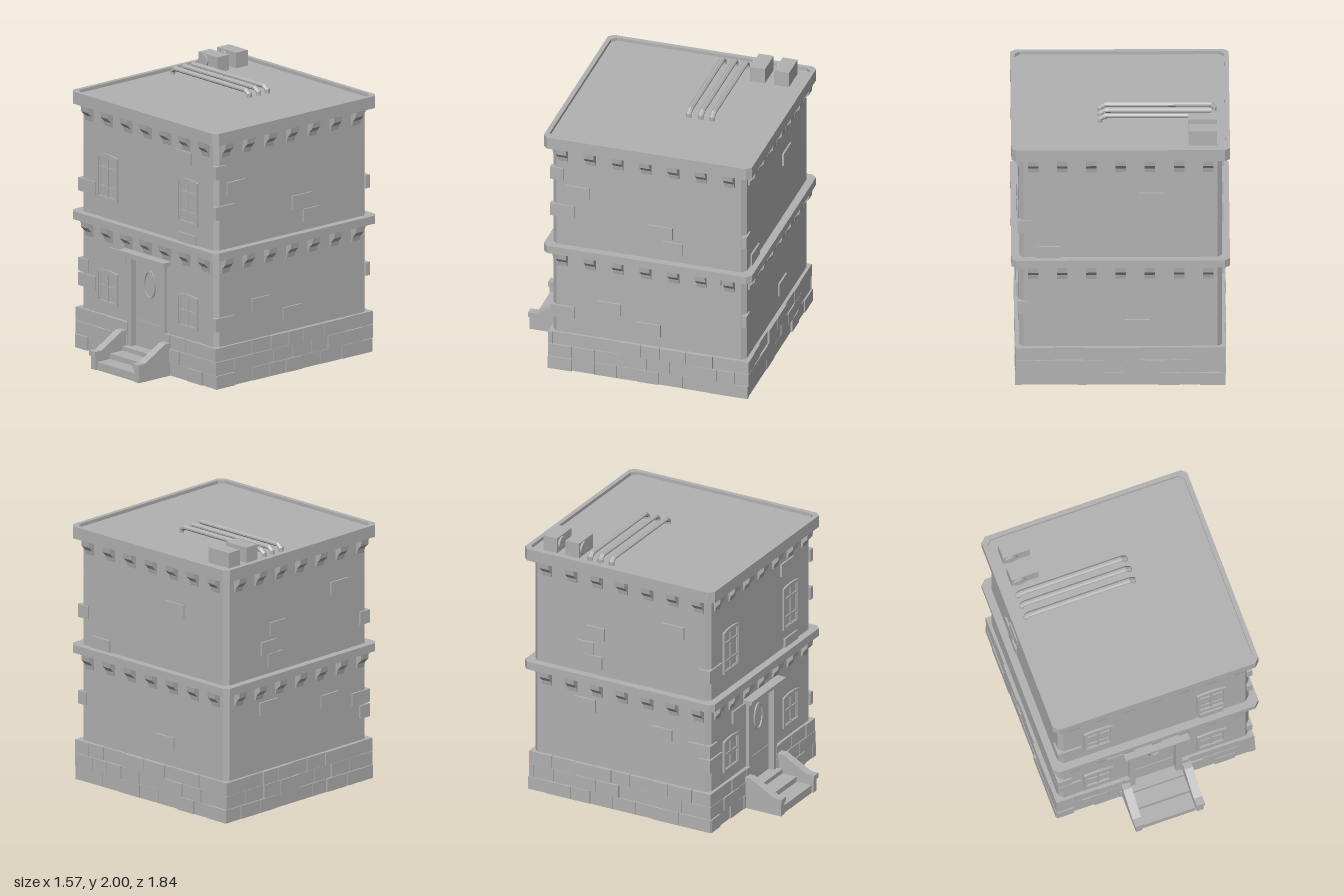
import * as THREE from 'three';

const stone = new THREE.MeshStandardMaterial({ color: 0xb2b2b2 });
stone.name = 'grey stone';

function add(parent, name, geometry, x = 0, y = 0, z = 0) {
  const m = new THREE.Mesh(geometry, stone);
  m.name = name;
  m.position.set(x, y, z);
  parent.add(m);
  return m;
}

const box = (parent, name, w, h, d, x, y, z) => add(parent, name, new THREE.BoxGeometry(w, h, d), x, y, z);
const poly = (pts) => new THREE.Shape(pts.map(([x, y]) => new THREE.Vector2(x, y)));
const extrude = (shape, depth, extra = {}) =>
  new THREE.ExtrudeGeometry(shape, { depth, bevelEnabled: false, curveSegments: 8, ...extra });

// Square plan with cut corners; an optional notch leaves the door recess
function plan(h, c, notch) {
  const pts = [[-h + c, -h]];
  if (notch) pts.push([-0.155, -h], [-0.155, -notch], [0.155, -notch], [0.155, -h]);
  pts.push([h - c, -h], [h, -h + c], [h, h - c], [h - c, h], [-h + c, h], [-h, h - c], [-h, -h + c]);
  return poly(pts);
}

function slab(parent, name, shape, y0, y1) {
  return add(parent, name, extrude(shape, y1 - y0).rotateX(-Math.PI / 2), 0, y0, 0);
}

// Side profile (z, y) given a width in x, centred on x = 0
const sideways = (pts, w) => extrude(poly(pts), w).rotateY(-Math.PI / 2).translate(w / 2, 0, 0);

// Rectangle with a shallow arched top
function arched(Type, x0, x1, y0, y1, rise) {
  const s = new Type();
  s.moveTo(x0, y0);
  s.lineTo(x1, y0);
  s.lineTo(x1, y1 - rise);
  s.quadraticCurveTo((x0 + x1) / 2, y1 + rise, x0, y1 - rise);
  s.closePath();
  return s;
}

function windowUnit(parent, x, y0, y1, rows) {
  const g = new THREE.Group();
  g.name = 'window';
  g.position.set(x, 0, 0.722);
  const frame = arched(THREE.Shape, -0.11, 0.11, y0, y1, 0.014);
  frame.holes.push(arched(THREE.Path, -0.092, 0.092, y0 + 0.018, y1 - 0.018, 0.012));
  add(g, 'windowFrame', extrude(frame, 0.02));
  const sash = arched(THREE.Shape, -0.095, 0.095, y0 + 0.015, y1 - 0.015, 0.012);
  rows.forEach(([a, b], i) => {
    const rise = i === rows.length - 1 ? 0.006 : 0;
    sash.holes.push(arched(THREE.Path, -0.082, -0.008, a, b, rise), arched(THREE.Path, 0.008, 0.082, a, b, rise));
  });
  add(g, 'windowSash', extrude(sash, 0.013));
  parent.add(g);
}

export function createModel() {
  const model = new THREE.Group();
  model.name = 'townHouse';
  const house = new THREE.Group();
  house.name = 'building';
  house.position.z = -0.1375;
  model.add(house);

  // Plinth core, walls and cornices
  slab(house, 'plinthFoot', plan(0.743, 0.005), 0, 0.13);
  slab(house, 'plinthCore', plan(0.743, 0.005, 0.7), 0.13, 0.298);
  slab(house, 'lowerWall', plan(0.727, 0.033, 0.7), 0.298, 0.8);
  slab(house, 'upperWall', plan(0.727, 0.033), 0.8, 1.83);
  slab(house, 'middleCornice', plan(0.783, 0.035), 0.96, 1.02);
  slab(house, 'roofSlab', plan(0.783, 0.035), 1.82, 1.885);
  const rim = plan(0.783, 0.035);
  rim.holes.push(plan(0.75, 0.035));
  slab(house, 'roofRim', rim, 1.885, 1.91);

  // Loose wall bricks per side: [across, height, width]
  const wallBricks = [
    [[0.38, 1.647, 0.18], [0.43, 1.04, 0.18], [-0.32, 0.765, 0.175], [-0.648, 1.217, 0.175],
      [-0.685, 0.622, 0.1], [-0.648, 0.512, 0.175]],
    [[-0.69, 1.6, 0.1], [-0.5375, 1.465, 0.18], [-0.65, 1.3, 0.18], [0.09, 1.247, 0.18], [0.18, 1.13, 0.15],
      [-0.3, 0.555, 0.175], [-0.65, 0.47, 0.18], [0, 0.433, 0.18], [0.49, 0.94, 0.11]],
    [[0.22, 1.49, 0.18], [-0.52, 1.06, 0.18], [0.12, 0.47, 0.18], [-0.69, 1.27, 0.1], [-0.7, 0.62, 0.08]],
    [[0.43, 1.51, 0.18], [-0.21, 1.35, 0.15], [-0.3, 1.22, 0.15], [-0.23, 1.12, 0.15], [-0.3, 0.77, 0.18],
      [0.33, 0.68, 0.18], [0.69, 1.217, 0.1], [0.65, 0.622, 0.18], [0.69, 0.512, 0.1]],
  ];
  // Bracket profile: flush with the cornice, then stepping back to the wall
  const bracket = sideways([[0.72, 0], [0.72, -0.11], [0.738, -0.11], [0.745, -0.075], [0.778, -0.04], [0.783, 0]], 0.075);

  let seed = 7;
  const rand = () => (seed = (seed * 16807) % 2147483647) / 2147483647;

  ['front', 'right', 'back', 'left'].forEach((name, k) => {
    const side = new THREE.Group();
    side.name = name + 'Side';
    side.rotation.y = (k * Math.PI) / 2;
    house.add(side);

    for (const y of [0.96, 1.82])
      for (let i = -3; i <= 3; i++) {
        const shift = [0, -0.0175, 0, 0.0175][k];
        add(side, 'bracket', bracket, i * 0.209 + shift, y, 0);
      }

    for (const [u, y, w] of wallBricks[k]) box(side, 'wallBrick', w, 0.097, 0.04, u, y, 0.72);

    // Three courses of uneven plinth blocks, leaving the doorway free
    for (let row = 0; row < 3; row++) {
      let a = -0.753;
      while (a < 0.75) {
        let b = a + 0.13 + rand() * 0.08;
        if (b > 0.66) b = 0.753;
        const out = 0.747 + Math.floor(rand() * 4) * 0.004;
        const spans = k === 0 && row > 0 ? [[a, Math.min(b, -0.19)], [Math.max(a, 0.19), b]] : [[a, b]];
        for (const [p, q] of spans)
          if (q - p > 0.01)
            box(side, 'plinthBlock', q - p - 0.004, 0.098, out - 0.715, (p + q) / 2, 0.0505 + row * 0.101, (out + 0.715) / 2);
        a = b;
      }
    }
  });

  // Windows
  for (const s of [-1, 1]) {
    windowUnit(house, s * 0.43, 1.16, 1.5, [[1.182, 1.24], [1.256, 1.385], [1.4, 1.47]]);
    windowUnit(house, s * 0.43, 0.385, 0.638, [[0.406, 0.503], [0.519, 0.61]]);
  }

  // Door, oval light and surround
  box(house, 'door', 0.3, 0.65, 0.012, 0, 0.455, 0.703);
  box(house, 'doorKickPanel', 0.29, 0.18, 0.008, 0, 0.24, 0.71);
  const ring = new THREE.Shape().absellipse(0, 0, 0.062, 0.105, 0, Math.PI * 2);
  ring.holes.push(new THREE.Path().absellipse(0, 0, 0.05, 0.092, 0, Math.PI * 2));
  add(house, 'doorOval', extrude(ring, 0.014, { curveSegments: 16 }), 0, 0.615, 0.706);
  for (const s of [-1, 1]) box(house, 'doorJamb', 0.045, 0.67, 0.07, s * 0.178, 0.465, 0.717);
  box(house, 'doorHead', 0.31, 0.025, 0.04, 0, 0.787, 0.72);
  box(house, 'lintel', 0.46, 0.02, 0.07, 0, 0.81, 0.75);
  box(house, 'lintelCap', 0.49, 0.022, 0.09, 0, 0.83, 0.757);

  // Entrance steps with sloped side walls
  const stairs = new THREE.Group();
  stairs.name = 'entranceSteps';
  model.add(stairs);
  box(stairs, 'lowerStep', 0.4, 0.06, 0.32, 0, 0.03, 0.74);
  box(stairs, 'upperStep', 0.4, 0.045, 0.2, 0, 0.0775, 0.677);
  box(stairs, 'threshold', 0.4, 0.035, 0.12, 0, 0.115, 0.6);
  const cheek = sideways([[0.54, 0], [0.91, 0], [0.91, 0.11], [0.86, 0.11], [0.665, 0.215], [0.54, 0.215]], 0.05);
  const coping = sideways([[0.54, 0.21], [0.66, 0.21], [0.855, 0.1], [0.92, 0.1], [0.92, 0.137], [0.86, 0.137],
    [0.665, 0.245], [0.54, 0.245]], 0.064);
  for (const s of [-1, 1]) {
    add(stairs, 'stairCheek', cheek, s * 0.232);
    add(stairs, 'stairCoping', coping, s * 0.233);
  }

  // Roof pipes, bent down at both ends
  const pipe = extrude(poly([[-0.68, 1.88], [-0.668, 1.88], [-0.668, 1.908], [-0.642, 1.926], [0.102, 1.926],
    [0.138, 1.908], [0.138, 1.88], [0.15, 1.88], [0.15, 1.912], [0.11, 1.938], [-0.65, 1.938], [-0.68, 1.912]]),
  0.014, { bevelEnabled: true, bevelThickness: 0.013, bevelSize: 0.011, bevelSegments: 1 }).translate(0, 0, -0.007);
  for (const z of [-0.425, -0.34, -0.25]) add(model, 'roofPipe', pipe, 0, 0, z);

  // Roof ventilation units with round fan housings
  for (const z of [-0.745, -0.565]) {
    box(model, 'ventUnit', 0.205, 0.12, 0.112, -0.588, 1.94, z);
    add(model, 'ventFan', new THREE.CylinderGeometry(0.048, 0.048, 0.016, 16).rotateX(Math.PI / 2), -0.63, 1.945, z + 0.062);
  }
  return model;
}
